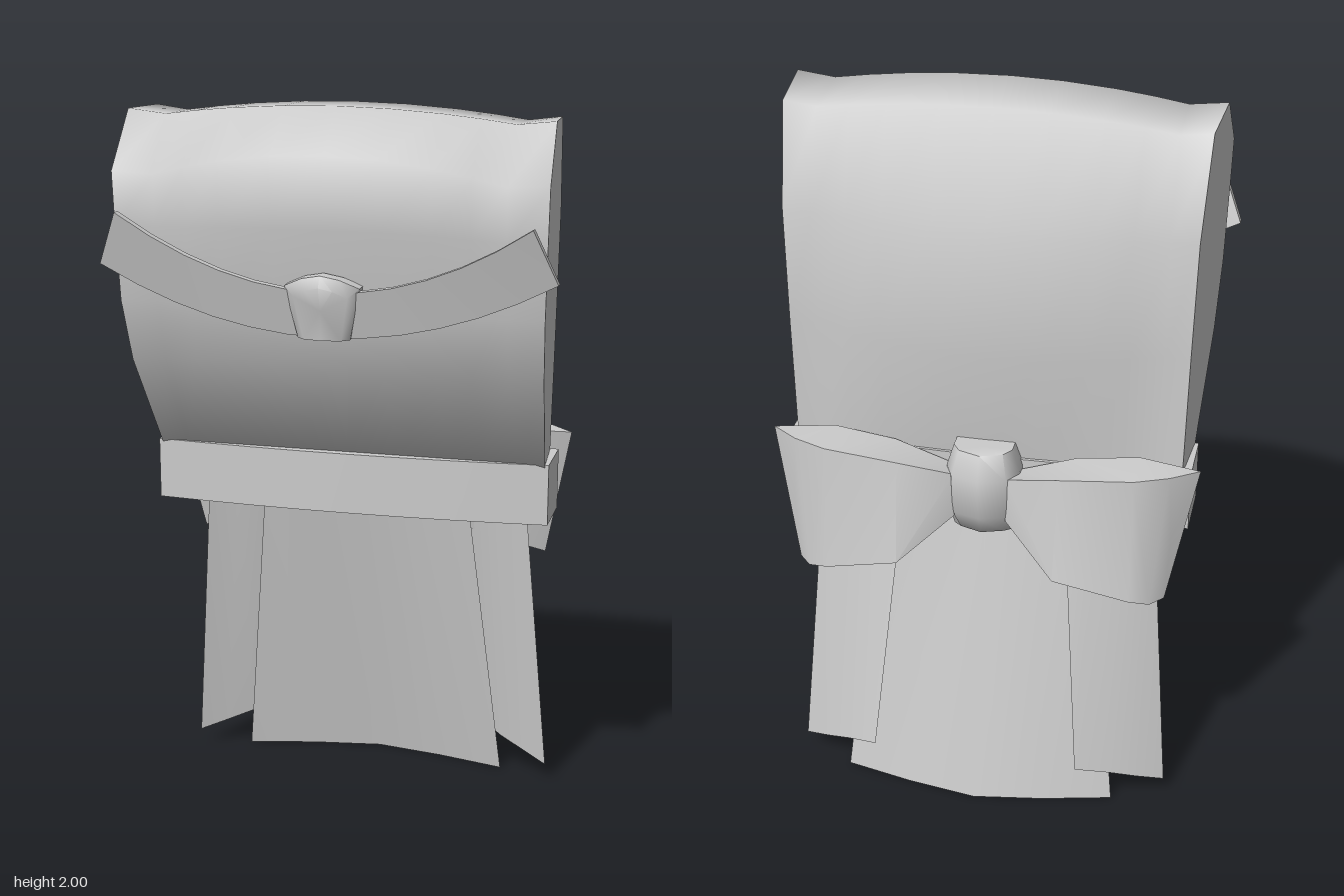
import * as THREE from 'three';
import { toCreasedNormals } from 'three/addons/utils/BufferGeometryUtils.js';

// Skin a list of equal-length point rings; closed solids get end caps and face outward.
function loft(rings, { solid = true, crease = 0.7 } = {}) {
  const n = rings[0].length;
  const pos = rings.flat(2);
  const index = [];
  const around = solid ? n : n - 1;
  for (let r = 0; r < rings.length - 1; r++) {
    for (let i = 0; i < around; i++) {
      const a = r * n + i, b = r * n + (i + 1) % n;
      index.push(a, b, b + n, a, b + n, a + n);
    }
  }
  if (solid) {
    [0, rings.length - 1].forEach((r, end) => {
      const centre = [0, 1, 2].map(k => rings[r].reduce((s, p) => s + p[k], 0) / n);
      const c = pos.length / 3;
      pos.push(...centre);
      for (let i = 0; i < n; i++) {
        const a = r * n + i, b = r * n + (i + 1) % n;
        index.push(...(end ? [c, a, b] : [c, b, a]));
      }
    });
    // signed volume decides the winding
    const v = i => new THREE.Vector3().fromArray(pos, index[i] * 3);
    let volume = 0;
    for (let i = 0; i < index.length; i += 3) volume += v(i).dot(v(i + 1).cross(v(i + 2)));
    if (volume < 0) index.reverse();
  }
  const g = new THREE.BufferGeometry();
  g.setAttribute('position', new THREE.Float32BufferAttribute(pos, 3));
  g.setIndex(index);
  return toCreasedNormals(g, crease);
}

const mirrorX = (rings, s) => rings.map(r => r.map(([x, y, z]) => [x * s, y, z]));

export function createModel() {
  const model = new THREE.Group();
  const grey = new THREE.MeshStandardMaterial({ color: 0xcccccc, side: THREE.DoubleSide });
  grey.name = 'plain grey';
  const add = (name, geometry) => {
    const mesh = new THREE.Mesh(geometry, grey);
    mesh.name = name;
    model.add(mesh);
  };

  // Padded roll: [z, y] outlines at the middle and at the seams
  const middle = [[0.31, 1.89], [0.16, 2.0], [-0.04, 1.99], [-0.18, 1.71], [-0.195, 1.35],
    [-0.15, 1.0], [0.01, 1.02], [0.24, 1.33], [0.265, 1.48], [0.30, 1.70]];
  const seam = [[0.265, 1.82], [0.145, 1.965], [-0.04, 1.955], [-0.13, 1.70], [-0.14, 1.38],
    [-0.14, 1.0], [0.01, 1.02], [0.19, 1.31], [0.245, 1.48], [0.26, 1.68]];
  const bodyRing = x => {
    const t = (x / 0.47) ** 2;
    return middle.map(([z, y], i) => [x, y + (seam[i][1] - y) * t, z + (seam[i][0] - z) * t]);
  };
  // flared, slightly leaning ends
  const endRing = s => seam.map(([z, y]) =>
    [s * (0.552 + 0.08 * z + 0.02 * (y - 1.5)), 1.5 + (y - 1.5) * 1.025, 0.06 + (z - 0.06) * 1.03]);
  const stations = [-0.47, -0.38, -0.28, -0.14, 0, 0.14, 0.28, 0.38, 0.47];
  add('paddedRoll', loft([endRing(-1), ...stations.map(bodyRing), endRing(1)], { crease: 1.25 }));

  // Belt with a gently bowed front
  const beltRing = y => {
    const ring = [];
    for (let i = -4; i <= 4; i++) ring.push([0.555 * i / 4, y, 0.047 - 0.027 * (i / 4) ** 2]);
    ring.push([0.555, y, -0.15], [0, y, -0.165], [-0.555, y, -0.15]);
    return ring;
  };
  add('belt', loft([beltRing(0.865), beltRing(1.035)]));

  // Curved front cord, tipped outward at the top
  const cord = [];
  for (let i = -6; i <= 6; i++) {
    const u = i / 6, q = u * u;
    const top = [0.55 * u, 1.54 + 0.19 * q], low = [0.61 * u, 1.415 + 0.17 * q];
    const zTop = 0.315 + 0.025 * q, zLow = 0.285 + 0.01 * q;
    cord.push([[...top, zTop], [...low, zLow], [...low, zLow - 0.022], [...top, zTop - 0.025]]);
  }
  add('frontCord', loft(cord));

  // Clasp on the cord
  const claspRing = (k, dz) => [[-0.1, 1.555, 0.30], [-0.05, 1.578, 0.315], [0, 1.588, 0.32],
    [0.05, 1.578, 0.315], [0.1, 1.555, 0.30], [0.07, 1.415, 0.28], [0, 1.415, 0.29], [-0.07, 1.415, 0.28]]
    .map(([x, y, z]) => [x * k, 1.415 + (y - 1.415) * (0.4 + 0.6 * k), z + dz]);
  add('clasp', loft([claspRing(1, -0.03), claspRing(1, 0.012), claspRing(0.72, 0.03)], { crease: 0.9 }));

  // Bow loops: corners run top front, top back, bottom back, bottom front
  const bowLoop = [
    [[0.07, 1.0, -0.17], [0.07, 1.02, -0.25], [0.07, 0.89, -0.25], [0.07, 0.9, -0.17]],
    [[0.25, 1.06, -0.165], [0.22, 1.055, -0.28], [0.215, 0.77, -0.335], [0.22, 0.79, -0.20]],
    [[0.42, 1.08, -0.16], [0.42, 1.075, -0.28], [0.42, 0.71, -0.305], [0.42, 0.73, -0.22]],
    [[0.585, 1.075, -0.19], [0.51, 1.08, -0.25], [0.475, 0.70, -0.29], [0.51, 0.70, -0.25]],
  ];

  // Side tails: folded sheets, top row then hem
  const sideTail = [
    [[0.46, 0.95, -0.15], [0.38, 0.95, -0.175], [0.30, 0.95, -0.18], [0.22, 0.95, -0.19]],
    [[0.53, 0.05, -0.22], [0.455, 0.075, -0.255], [0.385, 0.10, -0.285], [0.29, 0.14, -0.34]],
  ];
  for (const [side, s] of [['left', 1], ['right', -1]]) {
    add(side + 'BowLoop', loft(mirrorX(bowLoop, s), { crease: 0.6 }));
    add(side + 'Tail', loft(mirrorX(sideTail, s), { solid: false }));
  }

  // Bow knot
  const knot = [[0.835, 0.08, 0.235], [0.9, 0.1, 0.27], [1.02, 0.1, 0.28], [1.085, 0.08, 0.25]]
    .map(([y, w, d]) => [[-w, y, -0.15], [-w, y, -0.20], [-0.75 * w, y, 0.02 - d], [0, y, -d],
      [0.75 * w, y, 0.02 - d], [w, y, -0.20], [w, y, -0.15]]);
  add('bowKnot', loft(knot, { crease: 1.1 }));

  // Wide middle tail, bowed backward at the hem
  const tailRow = (y, w, zMid, zEdge) => [-1, -0.5, 0, 0.5, 1]
    .map(u => [w * u, y, zMid + (zEdge - zMid) * Math.abs(u) ** 1.3]);
  add('middleTail', loft([tailRow(0.95, 0.29, -0.158, -0.15), tailRow(0, 0.387, -0.35, -0.275)], { solid: false }));

  return model;
}
